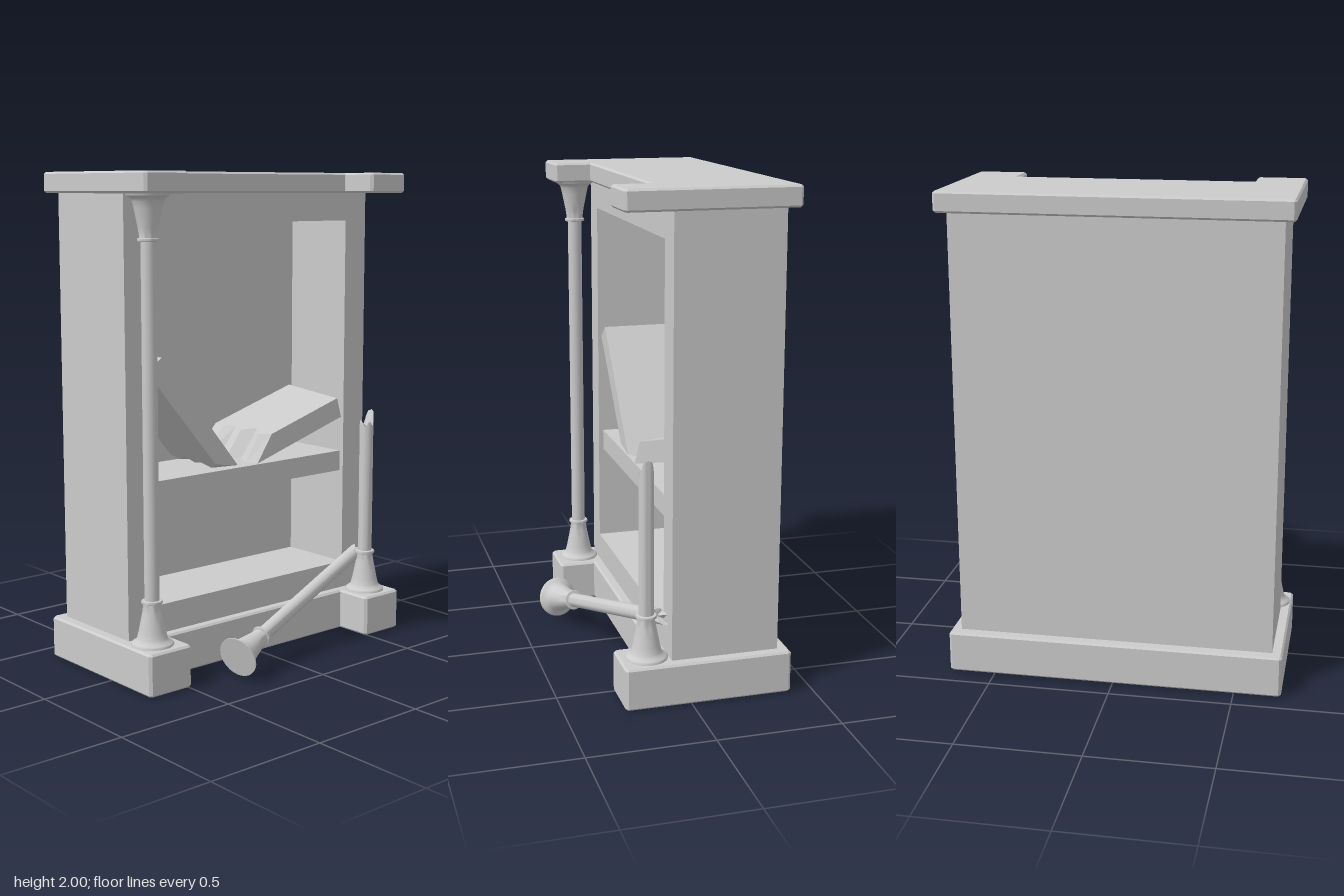
import * as THREE from 'three';
import { toCreasedNormals } from 'three/addons/utils/BufferGeometryUtils.js';

const grey = new THREE.MeshStandardMaterial({ color: 0xcccccc });
const V2 = (x, y) => new THREE.Vector2(x, y);
const V3 = (x, y, z) => new THREE.Vector3(x, y, z);

function add(parent, name, geometry, x = 0, y = 0, z = 0) {
  const mesh = new THREE.Mesh(geometry, grey);
  mesh.name = name;
  mesh.position.set(x, y, z);
  parent.add(mesh);
  return mesh;
}

// U-shaped slab with two front projections, bevelled edges and clipped corners
function slab(height) {
  const b = 0.008;
  const X = 0.692 - b, N = 0.486 + b, back = 0.411 - b, front = 0.266 - b, notch = 0.109 - b;
  const corners = [
    V2(-X, back), V2(-X, -front), V2(-N, -front), V2(-N, -notch),
    V2(N, -notch), V2(N, -front), V2(X, -front), V2(X, back),
  ];
  const clipped = corners.flatMap((c, i) => [corners.at(i - 1), corners[(i + 1) % corners.length]]
    .map(o => o.clone().sub(c).setLength(0.006).add(c)));
  const g = new THREE.ExtrudeGeometry(new THREE.Shape(clipped), {
    depth: height - 2 * b, bevelEnabled: true, bevelSize: b, bevelThickness: b, bevelSegments: 1,
  });
  g.rotateX(-Math.PI / 2);
  g.translate(0, b, 0);
  return toCreasedNormals(g, 0.3);
}

function rectPath(path, x0, y0, x1, y1) {
  path.moveTo(x0, y0).lineTo(x1, y0).lineTo(x1, y1).lineTo(x0, y1).closePath();
  return path;
}

// Flared column end with a ring at its neck
function flare() {
  const pts = [
    [0, 0], [0.085, 0], [0.085, 0.005], [0.079, 0.011], [0.067, 0.018], [0.06, 0.03], [0.054, 0.055],
    [0.047, 0.09], [0.039, 0.13], [0.034, 0.165], [0.041, 0.167], [0.043, 0.172], [0.041, 0.178], [0.029, 0.18],
  ];
  return toCreasedNormals(new THREE.LatheGeometry(pts.map(p => V2(...p)), 28), 0.9);
}

// Column snapped off at the given length, with a splintered tip
function brokenColumn(name, length) {
  const group = new THREE.Group();
  group.name = name;
  add(group, 'columnFlare', flare());
  const h = length - 0.05;
  const g = new THREE.CylinderGeometry(0.03, 0.03, h, 24);
  g.translate(0, h / 2, 0);
  const p = g.attributes.position;
  for (let i = 0; i < p.count; i++) {
    if (p.getY(i) < h - 0.001) continue;
    const x = p.getX(i), z = p.getZ(i);
    if (Math.hypot(x, z) < 0.001) { p.setY(i, h - 0.025); continue; }
    const a = Math.atan2(z, x);
    p.setY(i, h - 0.01 + 0.072 * Math.max(0, 1 - Math.abs(a) / 1.3) - 0.012 * Math.cos(5 * a));
  }
  add(group, 'brokenShaft', toCreasedNormals(g, 0.6));
  return group;
}

// Snapped plank: cross-sections stepped in z, inner end varied by the jag values.
// Corners run counter-clockwise from the front: the two inner ones are named by index.
function plank(corners, innerTop, innerBottom, outerTop, backShift, jagTop, jagBottom) {
  const along = V2(...corners[innerTop]).sub(V2(...corners[outerTop])).normalize();
  const rings = jagTop.map((jt, i) => {
    const t = i / (jagTop.length - 1);
    return corners.map(([x, y], k) => {
      const j = k === innerTop ? jt : k === innerBottom ? jagBottom[i] : 0;
      return V3(x + along.x * j + backShift[0] * t, y + along.y * j + backShift[1] * t, 0.055 - 0.3 * t);
    });
  });
  const pos = [];
  const quad = (a, b, c, d) => [a, b, c, a, c, d].forEach(v => pos.push(v.x, v.y, v.z));
  for (let i = 0; i < rings.length - 1; i++) {
    for (let k = 0; k < 4; k++) {
      const n = (k + 1) % 4;
      quad(rings[i][k], rings[i + 1][k], rings[i + 1][n], rings[i][n]);
    }
  }
  quad(...rings[0]);
  quad(...rings.at(-1).reverse());
  const g = new THREE.BufferGeometry();
  g.setAttribute('position', new THREE.Float32BufferAttribute(pos, 3));
  g.computeVertexNormals();
  return g;
}

export function createModel() {
  const model = new THREE.Group();
  model.name = 'brokenBookcase';

  // Plinth and cornice
  add(model, 'plinth', slab(0.172));
  add(model, 'cornice', slab(0.083), 0, 1.917, 0);

  // Case: framed front with a deep opening, closed by a thick back
  const frame = rectPath(new THREE.Shape(), -0.649, 0.165, 0.649, 1.92);
  frame.holes.push(rectPath(new THREE.Path(), -0.533, 0.29, 0.53, 1.8));
  add(model, 'caseFrame', new THREE.ExtrudeGeometry(frame, { depth: 0.335, bevelEnabled: false }), 0, 0, -0.265);
  add(model, 'caseBack', new THREE.BoxGeometry(1.298, 1.755, 0.1), 0, 1.0425, -0.315);

  // Intact lower shelf
  add(model, 'shelf', new THREE.BoxGeometry(1.063, 0.088, 0.315), -0.0015, 0.746, -0.1075);

  // Upper shelf, snapped in two and resting on the lower one
  add(model, 'brokenShelfRight', plank(
    [[-0.532, 1.228], [-0.188, 0.82], [-0.07, 0.803], [-0.463, 1.282]], 2, 1, 3, [0, 0],
    [0, 0.015, -0.025, 0.01, -0.03, 0.015, 0], [0, 0.03, 0.01, 0.02, -0.01, 0.02, 0]));
  add(model, 'brokenShelfLeft', plank(
    [[0.53, 0.942], [0.505, 1.027], [0.12, 0.912], [0.04, 0.795]], 2, 3, 1, [-0.01, 0.03],
    [0, 0.03, -0.01, 0.04, 0.02, 0.05, 0.05], [0, 0.02, 0, 0.05, 0.03, 0.08, 0.09]));

  // Standing column
  const column = new THREE.Group();
  column.name = 'standingColumn';
  column.position.set(-0.598, 0.172, 0.157);
  add(column, 'columnFoot', flare());
  add(column, 'columnCapital', flare(), 0, 1.746, 0).rotation.x = Math.PI;
  add(column, 'columnShaft', new THREE.CylinderGeometry(0.03, 0.03, 1.72, 24), 0, 0.873, 0);
  model.add(column);

  // Stump of the other column, and its fallen upper part
  const stump = brokenColumn('columnStump', 0.808);
  stump.position.set(0.587, 0.172, 0.157);
  model.add(stump);

  const fallen = brokenColumn('fallenColumn', 1.0);
  fallen.position.set(-0.302, 0.095, 0.325);
  fallen.quaternion.setFromUnitVectors(V3(0, 1, 0), V3(0.94, 0.255, -0.235).normalize());
  model.add(fallen);

  return model;
}
